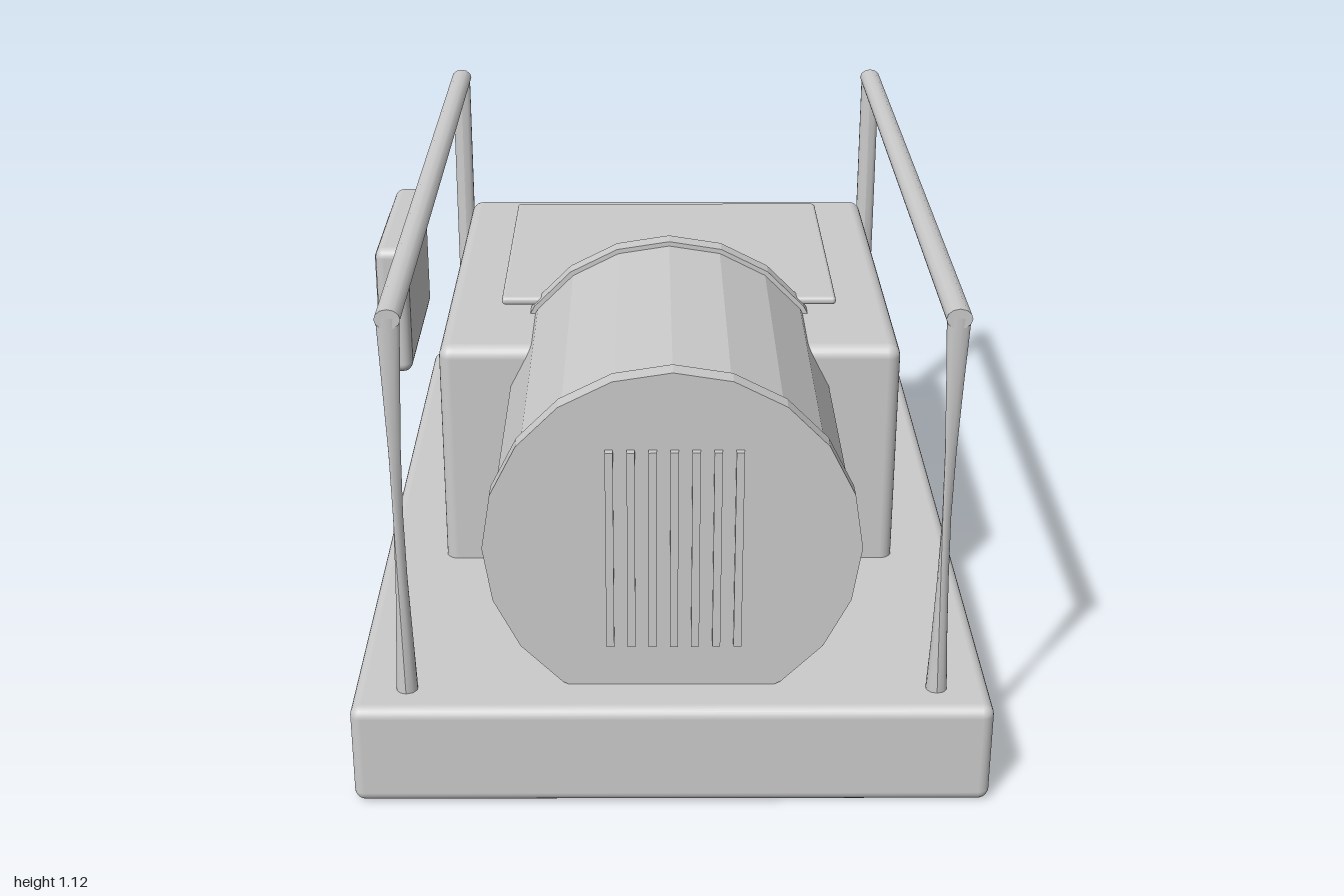
import * as THREE from 'three';
import { RoundedBoxGeometry } from 'three/addons/geometries/RoundedBoxGeometry.js';

const smooth = new THREE.MeshStandardMaterial({ color: 0xcccccc, side: THREE.DoubleSide });
const flat = new THREE.MeshStandardMaterial({ color: 0xcccccc, side: THREE.DoubleSide, flatShading: true });

function add(parent, name, geometry, x, y, z, material = smooth) {
  const mesh = new THREE.Mesh(geometry, material);
  mesh.name = name;
  mesh.position.set(x, y, z);
  parent.add(mesh);
  return mesh;
}

// Rounded box given by its limits
function roundedBox(parent, name, [x0, x1], [y0, y1], [z0, z1], radius, open = false) {
  let geometry = new RoundedBoxGeometry(x1 - x0, y1 - y0, z1 - z0, 3, radius);
  if (open) geometry = removeBottom(geometry, (y0 - y1) / 2);
  return add(parent, name, geometry, (x0 + x1) / 2, (y0 + y1) / 2, (z0 + z1) / 2);
}

// Drops the flat underside, leaving a hollow shell
function removeBottom(geometry, floor) {
  const p = geometry.attributes.position;
  const kept = [];
  for (let i = 0; i < p.count; i += 3) {
    if ([0, 1, 2].some((k) => p.getY(i + k) > floor + 0.003)) kept.push(i, i + 1, i + 2);
  }
  geometry.setIndex(kept);
  geometry.clearGroups();
  return geometry;
}

// Post: round foot, flattened head, optionally twisted so that it pinches in the middle
function postGeometry(bottom, top, twist) {
  const height = top - bottom;
  const geometry = new THREE.CylinderGeometry(0.025, 0.025, height, 10, 6, true);
  const p = geometry.attributes.position;
  for (let i = 0; i < p.count; i++) {
    const t = p.getY(i) / height + 0.5;
    const angle = Math.atan2(p.getZ(i), p.getX(i));
    const x = 0.025 * ((1 - t) * Math.cos(angle) + t * Math.cos(angle + twist));
    const z = 0.025 * (1 - t) * Math.sin(angle) + 0.012 * t * Math.sin(angle + twist);
    p.setXYZ(i, x, p.getY(i), z);
  }
  geometry.computeVertexNormals();
  return geometry;
}

export function createModel() {
  const model = new THREE.Group();
  model.name = 'machine';

  // Hollow base tray and main housing
  roundedBox(model, 'base', [-0.655, 0.725], [0, 0.235], [-1, 1], 0.025, true);
  roundedBox(model, 'housing', [-0.505, 0.575], [0.2, 0.787], [-0.772, 0.318], 0.03, true);
  roundedBox(model, 'lid', [-0.37, 0.44], [0.802, 0.822], [-0.635, 0.085], 0.009);

  // Motor drum with its lowest facets left open
  const motor = new THREE.Group();
  motor.name = 'motor';
  motor.position.set(0.035, 0.568, 0);
  model.add(motor);
  const step = Math.PI / 10;
  const shell = (radius, length) =>
    new THREE.CylinderGeometry(radius, radius, length, 14, 1, true, 3 * step, 14 * step).rotateX(Math.PI / 2);
  add(motor, 'drum', shell(0.392, 0.84), 0, 0, 0.475, flat);
  for (const [end, inward] of [[0.895, -1], [0.055, 1]]) {
    add(motor, 'endPlate', new THREE.CircleGeometry(0.403, 20), 0, 0, end, flat);
    add(motor, 'rim', shell(0.403, 0.045), 0, 0, end + inward * 0.0225, flat);
    add(motor, 'rimStep', new THREE.RingGeometry(0.392, 0.403, 14, 1, -2 * step, 14 * step),
      0, 0, end + inward * 0.045, flat);
  }
  // Vent bars on the front plate
  for (let i = 0; i < 7; i++) {
    add(motor, 'ventBar', new THREE.BoxGeometry(0.017, 0.46, 0.018), (i - 3) * 0.0455 + 0.004, 0, 0.902, flat);
  }

  // Side guard rails
  for (const x of [-0.538, 0.608]) {
    const rail = new THREE.Group();
    rail.name = 'guardRail';
    rail.position.x = x;
    model.add(rail);
    const bar = new THREE.CylinderGeometry(0.024, 0.024, 1.84, 12).rotateX(Math.PI / 2).scale(1.12, 0.9, 1);
    add(rail, 'topBar', bar, 0, 1.098, 0);
    add(rail, 'frontPost', postGeometry(0.2, 1.1, 2.3), 0, 0.65, 0.91);
    add(rail, 'rearPost', postGeometry(0.2, 1.1, 0), 0, 0.65, -0.905);
  }

  // Control panel with screen and buttons
  roundedBox(model, 'controlPanel', [-0.712, -0.63], [0.5, 0.842], [-0.718, -0.2], 0.025);
  add(model, 'screen', new THREE.BoxGeometry(0.012, 0.175, 0.34), -0.716, 0.71, -0.455, flat);
  for (const z of [-0.57, -0.455, -0.335]) {
    const button = new THREE.CylinderGeometry(0.026, 0.028, 0.02, 12).rotateZ(Math.PI / 2).scale(1, 0.65, 1);
    add(model, 'button', button, -0.72, 0.552, z);
  }

  return model;
}
